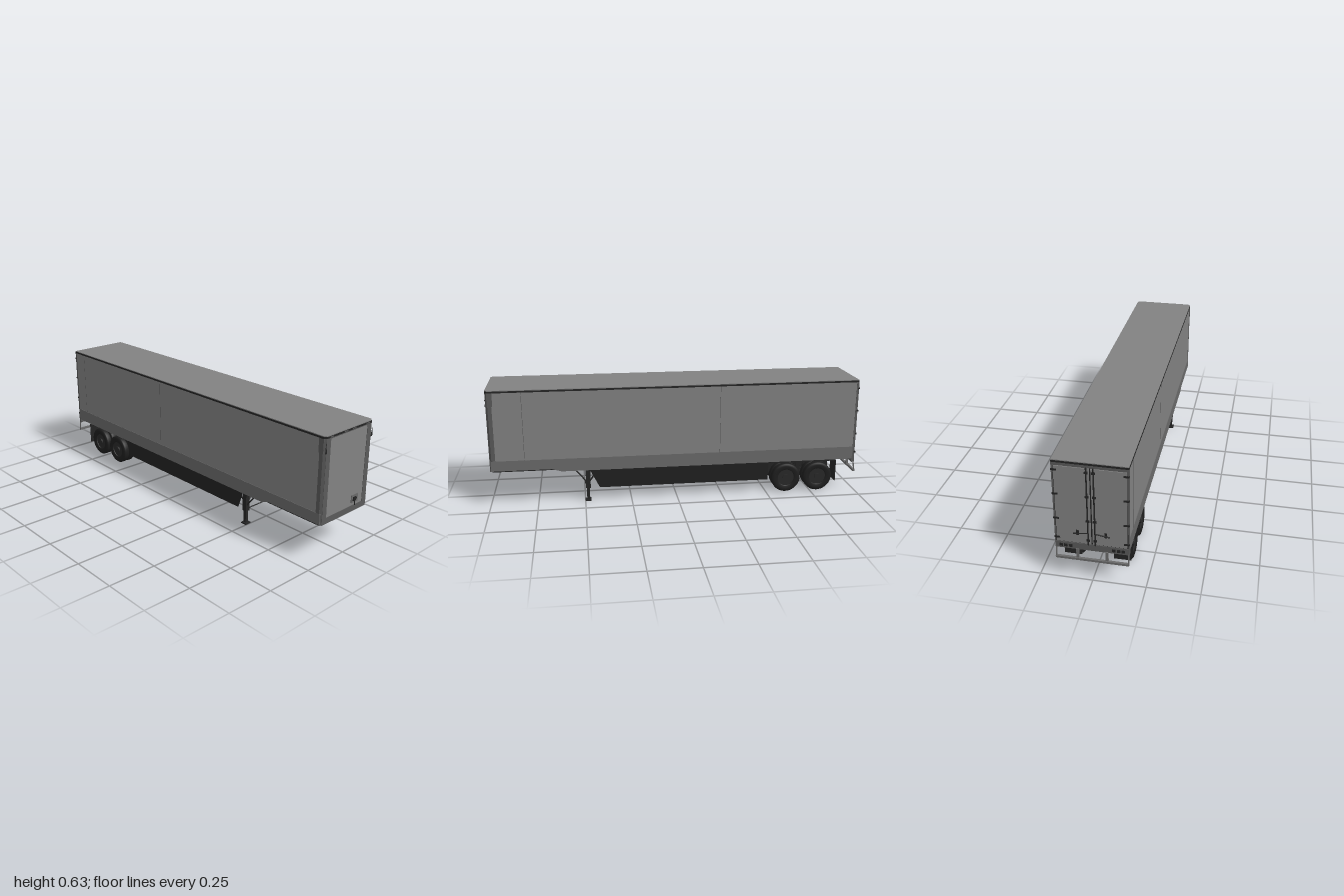
import * as THREE from 'three';

export function createModel() {
  const root = new THREE.Group();
  root.name = 'boxTrailer';
  const mat = (name, color) => {
    const m = new THREE.MeshStandardMaterial({ color, side: THREE.DoubleSide });
    m.name = name;
    return m;
  };
  const panel = mat('panelGrey', 0x828282);
  const band = mat('bandGrey', 0x6a6a6a);
  const frame = mat('frameGrey', 0x5a5a5a);
  const dark = mat('chassisBlack', 0x242424);
  const rubber = mat('tyreBlack', 0x1e1e1e);
  const rimMat = mat('rimBlack', 0x292929);

  const add = (name, geo, m, x = 0, y = 0, z = 0, parent = root) => {
    const mesh = new THREE.Mesh(geo, m);
    mesh.name = name;
    mesh.position.set(x, y, z);
    parent.add(mesh);
    return mesh;
  };
  // Box given by its minimum and maximum corners
  const box = (name, m, x0, x1, y0, y1, z0, z1, parent = root) =>
    add(name, new THREE.BoxGeometry(x1 - x0, y1 - y0, z1 - z0), m,
      (x0 + x1) / 2, (y0 + y1) / 2, (z0 + z1) / 2, parent);
  // Round bar between two points
  const bar = (name, m, a, b, r, parent = root) => {
    const p = new THREE.Vector3(...a), q = new THREE.Vector3(...b), d = q.clone().sub(p);
    const mesh = add(name, new THREE.CylinderGeometry(r, r, d.length(), 8), m, 0, 0, 0, parent);
    mesh.position.copy(p).add(q).multiplyScalar(0.5);
    mesh.quaternion.setFromUnitVectors(new THREE.Vector3(0, 1, 0), d.normalize());
    return mesh;
  };
  const shapeOf = pts => new THREE.Shape(pts.map(p => new THREE.Vector2(...p)));
  // Floor plan with clipped front corners, raised from y0 to y1
  const plan = (hw, zb, zf, y0, y1, c) => new THREE.ExtrudeGeometry(
    shapeOf([[-hw, -zb], [-hw, -zf + c], [-hw + c, -zf], [hw - c, -zf], [hw, -zf + c], [hw, -zb]]),
    { depth: y1 - y0, bevelEnabled: false }).rotateX(-Math.PI / 2).translate(0, y0, 0);
  // Profile in (z, y), given a thickness t centred on x = 0
  const side = (pts, t) => new THREE.ExtrudeGeometry(shapeOf(pts), { depth: t, bevelEnabled: false })
    .rotateY(-Math.PI / 2).translate(t / 2, 0, 0);

  // Cargo box, roof and top rail
  add('cargoBox', plan(0.17, -0.985, 0.989, 0.2, 0.62, 0.01), panel);
  add('topRail', plan(0.172, -0.99, 0.992, 0.62, 0.629, 0.012), dark);
  add('roof', plan(0.171, -0.989, 0.991, 0.629, 0.633, 0.012), panel);
  add('floor', plan(0.168, -0.98, 0.985, 0.194, 0.2, 0.012), dark);

  // Lower side bands, front corner columns, seams and markers
  const bandShape = [[0.985, 0.255], [0.985, 0.2], [0.67, 0.2], [0.62, 0.185], [-0.985, 0.185], [-0.985, 0.255]];
  for (const s of [-1, 1]) {
    add('lowerBand', side(bandShape, 0.004), band, s * 0.17);
    box('cornerColumnSide', frame, s * 0.1705 - 0.001, s * 0.1705 + 0.001, 0.255, 0.62, 0.96, 0.98);
    box('cornerCap', frame, s * 0.17 - 0.002, s * 0.17 + 0.002, 0.55, 0.62, 0.955, 0.982);
    const col = box('cornerColumnClip', frame, -0.0075, 0.0075, 0.2, 0.62, -0.001, 0.001);
    col.position.set(s * 0.1653, 0.41, 0.9845);
    col.rotation.y = s * Math.PI / 4;
    box('cornerColumnFront', frame, s * 0.147 - 0.0145, s * 0.147 + 0.0145, 0.2, 0.62, 0.987, 0.991);
    const clip = new THREE.ShapeGeometry(shapeOf([[s * 0.172, 0.55], [s * 0.157, 0.55], [s * 0.168, 0.6]]));
    add('cornerClip', clip, dark, 0, 0, 0.9925);
    for (const z of s > 0 ? [-0.23, 0.81] : [-0.16, -0.9])
      box('panelSeam', frame, s * 0.17 - 0.0008, s * 0.17 + 0.0008, 0.255, 0.62, z - 0.001, z + 0.001);
    for (const x of [0.03, 0.13])
      box('frontMarker', frame, s * x - 0.012, s * x + 0.012, 0.6225, 0.6265, 0.99, 0.994);
  }
  box('frontSill', frame, -0.16, 0.16, 0.195, 0.226, 0.986, 0.991);
  box('frontHeader', frame, -0.16, 0.16, 0.615, 0.621, 0.986, 0.991);

  // Supply connector on the nose
  box('connectorPlate', band, 0.049, 0.097, 0.241, 0.28, 0.987, 0.993);
  box('connectorSocket', dark, 0.059, 0.077, 0.251, 0.27, 0.992, 0.998);
  box('connectorLid', dark, 0.064, 0.08, 0.256, 0.268, 0.995, 1.0);
  bar('connectorCable', dark, [0.069, 0.254, 0.996], [0.072, 0.226, 0.996], 0.003);

  // Rear doors, hinges, lock rods
  box('rearHeader', frame, -0.172, 0.172, 0.606, 0.622, -0.99, -0.98);
  box('rearSill', frame, -0.172, 0.172, 0.166, 0.2, -0.991, -0.975);
  box('doorGap', dark, -0.167, 0.167, 0.2, 0.606, -0.987, -0.98);
  for (const s of [-1, 1]) {
    box('rearPost', frame, s * 0.169 - 0.003, s * 0.169 + 0.003, 0.2, 0.61, -0.99, -0.978);
    box('rearDoor', panel, s * 0.083 - 0.0795, s * 0.083 + 0.0795, 0.204, 0.604, -0.991, -0.985);
    bar('lockRod', dark, [s * 0.016, 0.2, -0.994], [s * 0.016, 0.61, -0.994], 0.0035);
    for (const y of [0.225, 0.33, 0.46, 0.585]) {
      box('hinge', dark, s * 0.16 - 0.013, s * 0.16 + 0.013, y - 0.004, y + 0.004, -0.995, -0.985);
      box('rodGuide', dark, s * 0.016 - 0.008, s * 0.016 + 0.008, y - 0.005, y + 0.005, -0.996, -0.989);
    }
    bar('lockHandle', dark, [s * 0.016, 0.265, -0.995], [s * 0.085, 0.255, -0.995], 0.003);
    box('handleCatch', dark, s * 0.065 - 0.006, s * 0.065 + 0.006, 0.25, 0.275, -0.995, -0.989);
    for (const x of [0.1, 0.122, 0.144])
      box('tailLight', dark, s * x - 0.008, s * x + 0.008, 0.176, 0.19, -0.994, -0.99);
    // Bumper supports
    bar('bumperEndStrut', band, [s * 0.168, 0.19, -0.985], [s * 0.168, 0.115, -0.995], 0.0035);
    box('bumperUpright', band, s * 0.068 - 0.006, s * 0.068 + 0.006, 0.115, 0.17, -0.996, -0.984);
  }
  box('bumperBar', band, -0.171, 0.171, 0.11, 0.121, -1.0, -0.988);

  // Underbody cross members and coupling pin
  for (let i = 0; i < 32; i++) {
    const z = 0.6 - i * 0.05;
    box('crossMember', dark, -0.167, 0.167, 0.184, 0.196, z - 0.004, z + 0.004);
  }
  box('couplerPlate', dark, -0.16, 0.16, 0.192, 0.198, 0.62, 0.97);
  add('couplingPin', new THREE.CylinderGeometry(0.009, 0.009, 0.014, 16), dark, 0, 0.188, 0.83);

  // Aerodynamic side skirts
  const skirtShape = [[0.42, 0.07], [0.475, 0.185], [-0.51, 0.185], [-0.51, 0.07]];
  for (const s of [-1, 1]) {
    const geo = side(skirtShape, 0.004), p = geo.attributes.position;
    for (let i = 0; i < p.count; i++) p.setX(i, p.getX(i) + s * (0.13 + (p.getY(i) - 0.07) * 0.17));
    geo.computeVertexNormals();
    add('sideSkirt', geo, dark);
  }

  // Landing gear
  const gear = new THREE.Group();
  gear.name = 'landingGear';
  root.add(gear);
  for (const s of [-1, 1]) {
    const x = s * 0.136;
    box('legSleeve', dark, x - 0.012, x + 0.012, 0.075, 0.195, 0.47, 0.495, gear);
    box('legInner', dark, x - 0.008, x + 0.008, 0.008, 0.08, 0.475, 0.491, gear);
    box('foot', dark, x - 0.017, x + 0.017, 0.002, 0.01, 0.468, 0.5, gear);
    bar('frontBrace', dark, [x, 0.188, 0.555], [x, 0.105, 0.488], 0.004, gear);
    bar('rearBrace', dark, [x, 0.188, 0.42], [x, 0.105, 0.478], 0.004, gear);
    bar('innerBrace', dark, [x, 0.11, 0.483], [s * 0.06, 0.19, 0.483], 0.004, gear);
  }
  bar('gearShaft', dark, [-0.136, 0.083, 0.483], [0.136, 0.083, 0.483], 0.003, gear);

  // Bogie frame, suspension and mud flaps
  box('bogieCrossBeam', dark, -0.12, 0.12, 0.165, 0.185, -0.55, -0.53);
  box('bogieRearBeam', dark, -0.12, 0.12, 0.165, 0.185, -0.89, -0.87);
  for (const s of [-1, 1]) {
    box('bogieRail', dark, s * 0.065 - 0.01, s * 0.065 + 0.01, 0.162, 0.19, -0.89, -0.52);
    box('bogieSidePlate', dark, s * 0.14 - 0.01, s * 0.14 + 0.01, 0.17, 0.19, -0.89, -0.52);
    for (const z of [-0.54, -0.7, -0.86]) {
      box('springHanger', dark, s * 0.065 - 0.008, s * 0.065 + 0.008, 0.1, 0.165, z - 0.012, z + 0.012);
      box('hangerWeb', dark, s * 0.037 - 0.003, s * 0.037 + 0.003, 0.1, 0.172, z - 0.01, z + 0.01);
    }
    box('leafSpring', dark, s * 0.065 - 0.007, s * 0.065 + 0.007, 0.098, 0.108, -0.87, -0.53);
    box('mudFlap', dark, s * 0.118 - 0.042, s * 0.118 + 0.042, 0.055, 0.175, -0.892, -0.888);
  }

  // Axles with paired wheels
  const tyreGeo = new THREE.LatheGeometry([[0.046, -0.014], [0.05, -0.017], [0.066, -0.019], [0.077, -0.016],
    [0.081, -0.011], [0.081, 0.011], [0.077, 0.016], [0.066, 0.019], [0.05, 0.017], [0.046, 0.014]]
    .map(p => new THREE.Vector2(...p)), 36).rotateZ(Math.PI / 2);
  const disc = (r, w, n = 28) => new THREE.CylinderGeometry(r, r, w, n).rotateZ(Math.PI / 2);
  const rimGeo = disc(0.047, 0.018), hubGeo = disc(0.017, 0.026, 16), drumGeo = disc(0.035, 0.03);
  for (const z of [-0.61, -0.79]) {
    const axle = new THREE.Group();
    axle.name = 'axle';
    axle.position.set(0, 0.084, z);
    root.add(axle);
    add('axleTube', disc(0.014, 0.27, 16), dark, 0, 0, 0, axle);
    add('axleCentre', disc(0.02, 0.05, 16), dark, 0, 0, 0, axle);
    for (const s of [-1, 1]) {
      for (const x of [0.099, 0.139]) {
        add('tyre', tyreGeo, rubber, s * x, 0, 0, axle);
        add('rim', rimGeo, rimMat, s * x, 0, 0, axle);
      }
      add('hub', hubGeo, rimMat, s * 0.143, 0, 0, axle);
      add('brakeDrum', drumGeo, dark, s * 0.085, 0, 0, axle);
      box('springSeat', dark, s * 0.065 - 0.011, s * 0.065 + 0.011, -0.025, 0.02, -0.02, 0.02, axle);
    }
  }
  return root;
}
